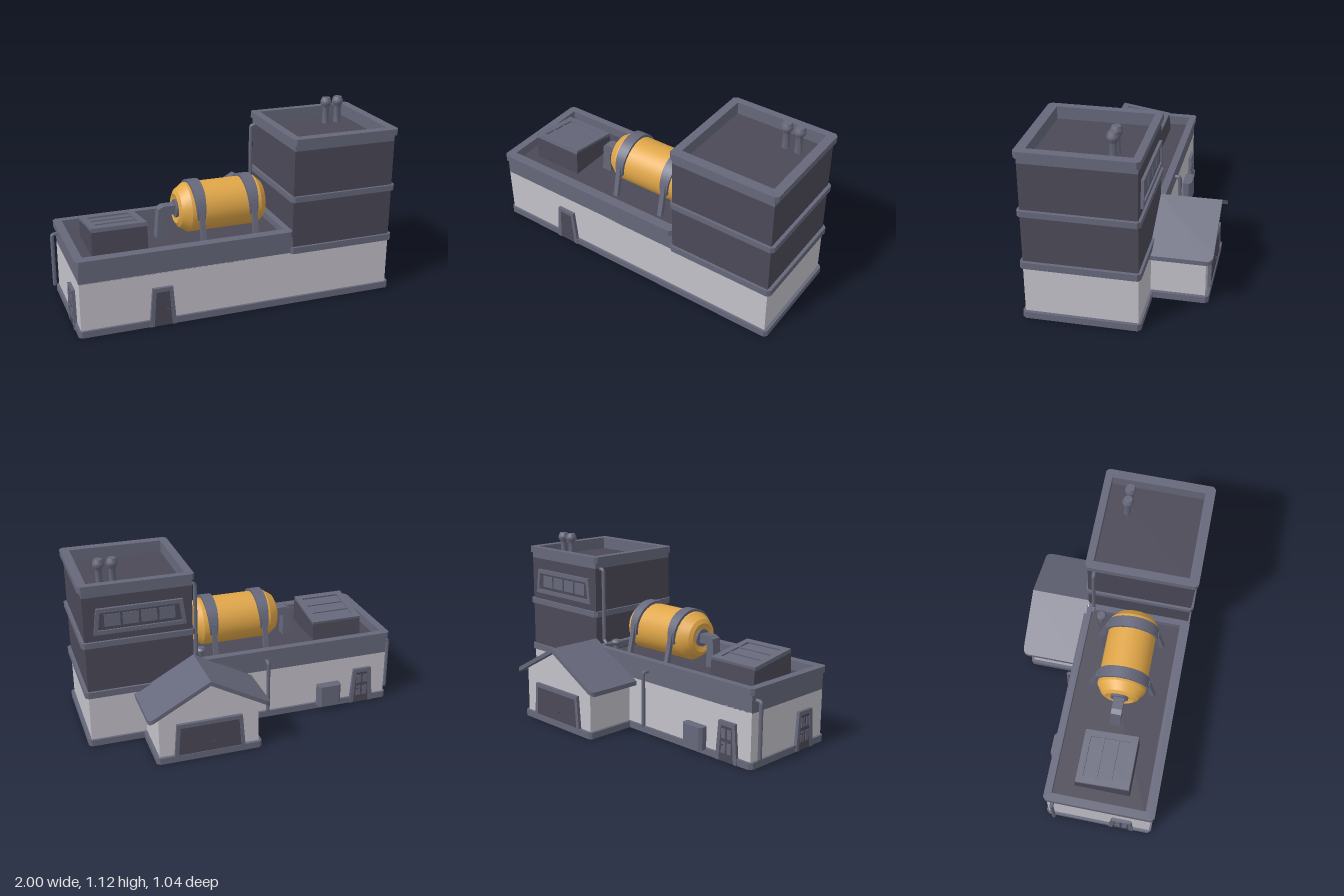
import * as THREE from 'three';
import { toCreasedNormals } from 'three/addons/utils/BufferGeometryUtils.js';

const mat = (name, color) => {
  const m = new THREE.MeshStandardMaterial({ color });
  m.name = name;
  return m;
};

export function createModel() {
  const root = new THREE.Group();
  root.name = 'factory';
  const wall = mat('pale wall', 0xc4c2ca);
  const dark = mat('dark panel', 0x4b4957);
  const trim = mat('grey trim', 0x66687b);
  const orange = mat('orange tank', 0xe0a648);

  const add = (name, geo, material, parent = root) => {
    const m = new THREE.Mesh(geo, material);
    m.name = name;
    parent.add(m);
    return m;
  };
  const box = (name, x0, x1, y0, y1, z0, z1, material, parent = root) => {
    const m = add(name, new THREE.BoxGeometry(x1 - x0, y1 - y0, z1 - z0), material, parent);
    m.position.set((x0 + x1) / 2, (y0 + y1) / 2, (z0 + z1) / 2);
    return m;
  };
  const poly = (pts) => new THREE.Shape(pts.map((p) => new THREE.Vector2(...p)));
  const extrude = (shape, depth) =>
    new THREE.ExtrudeGeometry(shape, { depth, bevelEnabled: false, curveSegments: 8 });
  // Rectangle in plan with cut corners
  const plan = (x0, x1, z0, z1, c) => poly([
    [x0 + c, -z1], [x1 - c, -z1], [x1, -z1 + c], [x1, -z0 - c],
    [x1 - c, -z0], [x0 + c, -z0], [x0, -z0 - c], [x0, -z1 + c]]);
  // Flat slab, or a ring when an inner rectangle is given
  const slab = (name, [x0, x1, z0, z1], y0, y1, material, inner) => {
    const s = plan(x0, x1, z0, z1, 0.018);
    if (inner) {
      const [a, b, c, d] = inner;
      s.holes.push(poly([[a, -d], [a, -c], [b, -c], [b, -d]]));
    }
    const g = extrude(s, y1 - y0).rotateX(-Math.PI / 2).translate(0, y0, 0);
    return add(name, g, material);
  };
  // Profile given in (z, y), extruded along x around the origin
  const sideways = (shape, w) =>
    extrude(shape, w).translate(0, 0, -w / 2).rotateY(-Math.PI / 2);

  // Main building
  slab('plinth', [-0.97, 1, -0.165, 0.515], 0, 0.04, trim);
  box('groundFloorWalls', -0.955, 0.98, 0.03, 0.33, -0.15, 0.5, wall);
  const lowInner = [-0.92, 0.295, -0.12, 0.455];
  const lowBand = new THREE.Group();
  lowBand.name = 'lowParapet';
  root.add(lowBand);
  box('front', -0.955, 0.34, 0.325, 0.432, 0.455, 0.5, trim, lowBand);
  box('back', -0.955, 0.34, 0.325, 0.432, -0.15, -0.12, trim, lowBand);
  box('side', -0.955, -0.92, 0.325, 0.432, -0.12, 0.455, trim, lowBand);
  box('lowRoof', -0.92, 0.34, 0.325, 0.41, -0.12, 0.455, dark);
  slab('lowRoofCap', [-0.97, 0.335, -0.165, 0.515], 0.43, 0.47, trim, lowInner);

  // Tower
  const towerPlan = [0.32, 1, -0.165, 0.515];
  const towerInner = [0.37, 0.945, -0.12, 0.455];
  box('towerWalls', 0.335, 0.98, 0.33, 0.96, -0.15, 0.5, dark);
  slab('towerLowerBand', towerPlan, 0.325, 0.365, trim);
  slab('towerMiddleBand', towerPlan, 0.65, 0.685, trim);
  const towerBand = poly([[0.335, -0.5], [0.98, -0.5], [0.98, 0.15], [0.335, 0.15]]);
  const [ta, tb, tc, td] = towerInner;
  towerBand.holes.push(poly([[ta, -td], [ta, -tc], [tb, -tc], [tb, -td]]));
  add('towerParapet', extrude(towerBand, 0.037).rotateX(-Math.PI / 2).translate(0, 0.96, 0), trim);
  slab('towerCap', towerPlan, 0.996, 1.035, trim, towerInner);

  // Roof vents
  const vent = (name, x, y, z, h, r) => {
    const pts = [[0, 0], [r, 0], [r * 0.9, h * 0.62], [r * 1.6, h * 0.78], [r * 1.6, h * 0.86],
      [r * 1.15, h], [0, h]].map((p) => new THREE.Vector2(...p));
    const g = toCreasedNormals(new THREE.LatheGeometry(pts, 12), 0.6);
    add(name, g, trim).position.set(x, y, z);
  };
  for (const x of [0.765, 0.845]) vent('towerVent', x, 0.96, 0.01, 0.165, 0.022);
  vent('lowRoofVent', 0.26, 0.41, -0.05, 0.09, 0.02);

  // Back annex with gable roof
  const cx = 0.335, slope = 0.548;
  add('annexWalls', extrude(poly([[0.03, 0.03], [0.64, 0.03], [0.64, 0.32], [cx, 0.487], [0.03, 0.32]]),
    0.325).translate(0, 0, -0.47), wall);
  slab('annexPlinth', [0.01, 0.66, -0.49, -0.14], 0, 0.04, trim);
  for (const s of [-1, 1]) {
    const r = new THREE.Shape();
    r.moveTo(cx, 0.15);
    r.lineTo(cx + s * 0.37, 0.15);
    r.lineTo(cx + s * 0.37, 0.475);
    r.quadraticCurveTo(cx + s * 0.37, 0.515, cx + s * 0.33, 0.515);
    r.lineTo(cx, 0.515);
    const g = extrude(r, 0.027).rotateX(-Math.PI / 2).translate(0, 0.485, 0);
    const p = g.attributes.position;
    for (let i = 0; i < p.count; i++) p.setY(i, p.getY(i) - slope * Math.abs(p.getX(i) - cx));
    g.computeVertexNormals();
    add('annexRoof', g, trim);
  }

  // Doors and window: tapered frame, dark panel, optional panes and handle
  const opening = (name, pos, turn, w, h, t, panes, handle) => {
    const g = new THREE.Group();
    g.name = name;
    g.position.set(...pos);
    g.rotation.y = turn;
    const a = w / 2, b = a - 0.02, lift = handle ? 0 : t;
    const f = poly([[-a, 0], [a, 0], [b, h], [-b, h]]);
    const inner = [[-a + t, lift], [-b + t * 0.8, h - t], [b - t * 0.8, h - t], [a - t, lift]];
    if (handle) {
      // Door frames are open at the ground
      const o = poly([[-a, 0], [-a + t, 0], ...inner.slice(1, 3), [a - t, 0], [a, 0], [b, h], [-b, h]]);
      add('frame', extrude(o, 0.02), trim, g);
    } else {
      f.holes.push(poly(inner));
      add('frame', extrude(f, 0.017), trim, g);
    }
    add('panel', extrude(poly(inner), handle ? 0.0165 : 0.006), dark, g);
    const z = handle ? 0.0165 : 0.006;
    for (const [x0, x1, y0, y1] of panes) box('pane', x0, x1, y0, y1, z, z + 0.004, trim, g);
    if (handle) box('handle', handle - 0.008, handle + 0.008, 0.095, 0.105, 0.016, 0.024, dark, g);
    root.add(g);
  };
  const doorPanes = [-1, 1].flatMap((s) => [[0.14, 0.195], [0.05, 0.115]].map(([y0, y1]) =>
    [s * 0.022 - 0.015, s * 0.022 + 0.015, y0, y1]));
  opening('frontDoor', [-0.475, 0, 0.5], 0, 0.16, 0.24, 0.025, [], 0.03);
  opening('backDoor', [-0.79, 0, -0.15], Math.PI, 0.16, 0.24, 0.025, doorPanes, -0.03);
  opening('sideDoor', [-0.955, 0, 0.32], -Math.PI / 2, 0.16, 0.24, 0.025, doorPanes, -0.03);
  opening('garageDoor', [cx, 0, -0.47], Math.PI, 0.44, 0.245, 0.025, [], 0.02);
  const windowPanes = [-1.5, -0.5, 0.5, 1.5].map((i) => [i * 0.108 - 0.047, i * 0.108 + 0.047, 0.045, 0.12]);
  opening('towerWindow', [0.65, 0.73, -0.15], Math.PI, 0.55, 0.16, 0.025, windowPanes, 0);

  // Storage tank lying along x
  const tankProfile = [[0, -0.28], [0.06, -0.28], [0.09, -0.292], [0.115, -0.278], [0.15, -0.225],
    [0.15, 0.21], [0.115, 0.25], [0.075, 0.257], [0, 0.257]].map((p) => new THREE.Vector2(...p));
  const tank = add('tank', toCreasedNormals(
    new THREE.LatheGeometry(tankProfile, 24).rotateZ(-Math.PI / 2), 0.45), orange);
  tank.position.set(0, 0.575, 0.17);

  // Straps that narrow downward, with splayed legs
  for (const x of [-0.175, 0.155]) {
    const s = new THREE.Shape();
    s.absarc(0, 0, 0.166, -0.2, Math.PI + 0.2, false);
    s.absarc(0, 0, 0.145, Math.PI + 0.2, -0.2, true);
    const g = new THREE.ExtrudeGeometry(s, { depth: 0.07, bevelEnabled: false, curveSegments: 20 })
      .translate(0, 0, -0.035).rotateY(-Math.PI / 2);
    const p = g.attributes.position;
    for (let i = 0; i < p.count; i++) {
      const k = THREE.MathUtils.clamp((p.getY(i) + 0.03) / 0.15, 0, 1);
      p.setX(i, p.getX(i) * (0.65 + 0.35 * k));
    }
    g.computeVertexNormals();
    add('tankStrap', toCreasedNormals(g, 0.5), trim).position.set(x, 0.575, 0.17);
    for (const d of [-1, 1]) {
      const leg = poly([[d * 0.145, 0.04], [d * 0.166, 0.04], [d * 0.212, -0.165], [d * 0.185, -0.165]]);
      add('tankLeg', sideways(leg, 0.03), trim).position.set(x, 0.575, 0.17);
    }
  }

  // Tank outlet elbow and flange
  add('tankOutlet', extrude(poly([[-0.275, 0.605], [-0.37, 0.605], [-0.4, 0.59], [-0.415, 0.41],
    [-0.35, 0.41], [-0.353, 0.55], [-0.275, 0.55]]), 0.064).translate(0, 0, 0.138), trim);
  const flange = add('tankFlange', new THREE.CylinderGeometry(0.055, 0.055, 0.02, 12).rotateZ(Math.PI / 2), trim);
  flange.position.set(-0.285, 0.575, 0.17);

  // Skylight sloping down to the back
  add('skylightBase', sideways(poly([[0, 0.41], [0.345, 0.41], [0.335, 0.565], [0.01, 0.515]]), 0.33), dark)
    .position.x = -0.673;
  const sky = new THREE.Group();
  sky.name = 'skylight';
  sky.position.set(-0.673, 0.542, 0.173);
  sky.rotation.x = -0.153;
  root.add(sky);
  box('glass', -0.14, 0.14, -0.005, 0.004, -0.14, 0.14, trim, sky);
  for (const s of [-1, 1]) {
    box('frameSide', s * 0.145 - 0.02, s * 0.145 + 0.02, -0.01, 0.014, -0.165, 0.165, trim, sky);
    box('frameEnd', -0.165, 0.165, -0.01, 0.014, s * 0.145 - 0.02, s * 0.145 + 0.02, trim, sky);
    box('glazingBar', -0.125, 0.125, 0, 0.011, s * 0.045 - 0.008, s * 0.045 + 0.008, trim, sky);
  }

  // Drain pipes
  const pipe = (name, pts, r) => {
    const path = new THREE.CurvePath();
    const v = pts.map((p) => new THREE.Vector3(...p));
    for (let i = 1; i < v.length; i++) path.add(new THREE.LineCurve3(v[i - 1], v[i]));
    add(name, new THREE.TubeGeometry(path, 40, r, 8), trim);
    add(name + 'End', new THREE.SphereGeometry(r, 8, 6), trim).position.copy(v[v.length - 1]);
  };
  pipe('towerPipe', [[0.34, 0.955, -0.11], [0.315, 0.955, -0.11], [0.306, 0.945, -0.11],
    [0.306, 0.5, -0.11], [0.285, 0.48, -0.11]], 0.012);
  pipe('sidePipe', [[-0.95, 0.393, -0.11], [-0.98, 0.393, -0.11], [-0.987, 0.385, -0.11],
    [-0.987, 0.06, -0.11]], 0.012);
  pipe('backPipe', [[-0.135, 0.393, -0.145], [-0.135, 0.393, -0.18], [-0.135, 0.385, -0.187],
    [-0.135, 0.06, -0.187]], 0.012);

  // Utility cabinet on the back wall
  slab('utilityCabinet', [-0.63, -0.475, -0.21, -0.14], 0.03, 0.17, trim);
  return root;
}
